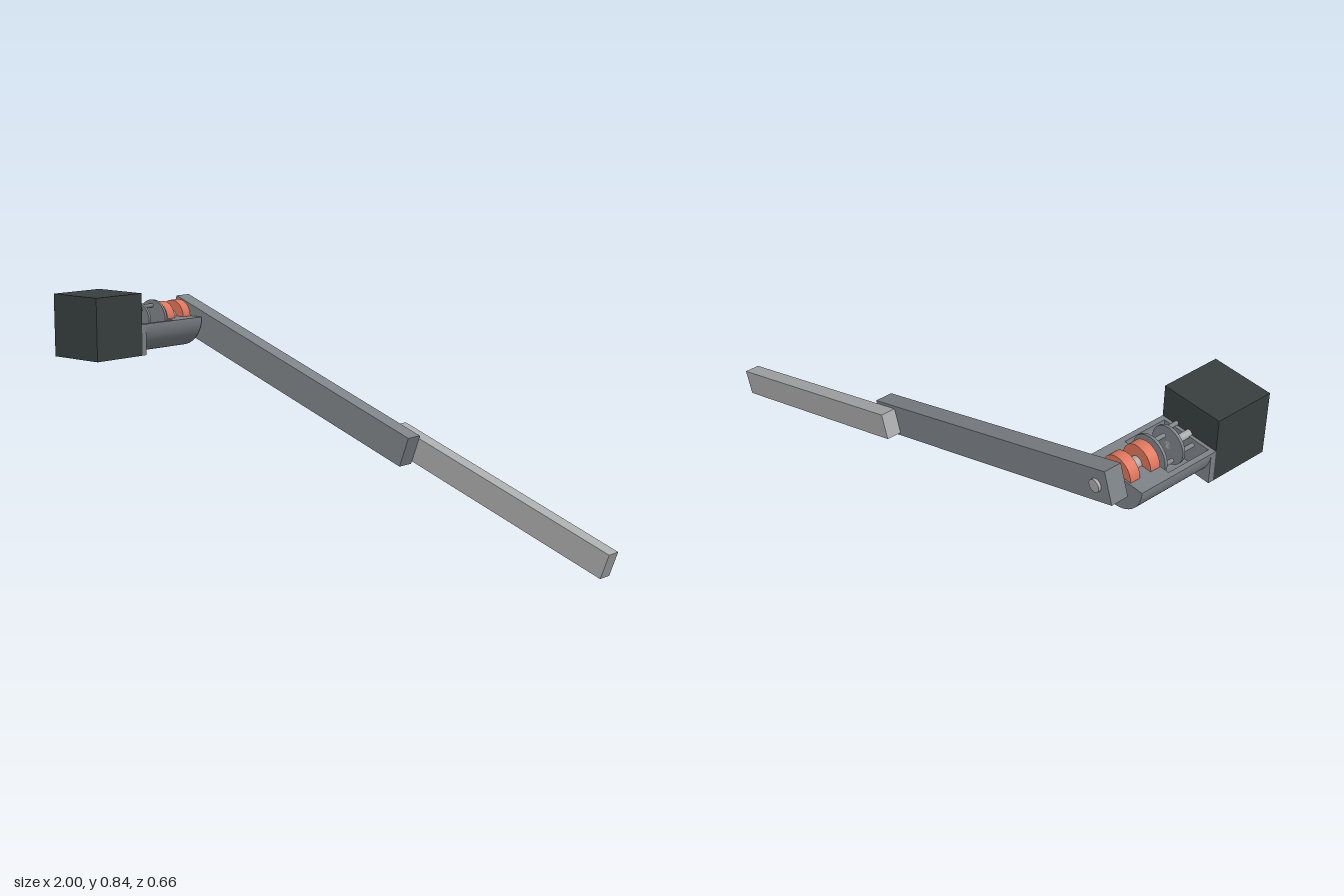
import * as THREE from 'three';

const mat = (name, color) => Object.assign(new THREE.MeshStandardMaterial({ color }), { name });

export function createModel() {
  const charcoal = mat('charcoal', 0x383f3f);
  const grey = mat('steel grey', 0x7e8388);
  const silver = mat('light silver', 0xaaabac);
  const copper = mat('copper orange', 0xe0765c);

  const root = new THREE.Group();
  root.name = 'crankAssembly';
  const drive = new THREE.Group(); // its z axis is the drive shaft
  drive.name = 'driveUnit';
  drive.position.set(-0.885, 0.725, 0);
  root.add(drive);

  const add = (parent, name, geo, material) => {
    const mesh = new THREE.Mesh(geo, material);
    mesh.name = name;
    parent.add(mesh);
    return mesh;
  };
  // Round bar along z between two depths
  const rod = (name, r, z0, z1, material, x = 0, y = 0) => {
    const geo = new THREE.CylinderGeometry(r, r, z1 - z0, 32).rotateX(Math.PI / 2);
    return add(drive, name, geo.translate(x, y, (z0 + z1) / 2), material);
  };
  // Flat outline extruded along z between two depths
  const slab = (name, shape, z0, z1, material) => {
    const geo = new THREE.ExtrudeGeometry(shape, { depth: z1 - z0, bevelEnabled: false, curveSegments: 40 });
    return add(drive, name, geo.translate(0, 0, z0), material);
  };
  const R = 0.115, inner = 0.095;

  // Motor block
  add(drive, 'motor', new THREE.BoxGeometry(0.23, 0.23, 0.22).translate(0, 0, 0.22), charcoal);

  // Half-round housing: open trough, solid bearing seat, square mounting flange
  const half = new THREE.Shape().absarc(0, 0, R, Math.PI, 2 * Math.PI, false);
  half.closePath();
  slab('bearingSeat', half, -0.198, -0.07, grey);

  const trough = new THREE.Shape();
  trough.absarc(0, 0, R, Math.PI, 2 * Math.PI, false);
  trough.lineTo(inner, 0);
  trough.absarc(0, 0, inner, 2 * Math.PI, Math.PI, true);
  trough.closePath();
  slab('troughWall', trough, -0.07, 0.09, grey);

  const rim = new THREE.Shape();
  rim.moveTo(-R, 0);
  rim.lineTo(-R, -R);
  rim.lineTo(R, -R);
  rim.lineTo(R, 0);
  rim.lineTo(inner, 0);
  rim.absarc(0, 0, inner, 2 * Math.PI, Math.PI, true);
  rim.closePath();
  slab('flangeRim', rim, 0.09, 0.098, grey);
  add(drive, 'mountingFlange', new THREE.BoxGeometry(2 * R, R, 0.012).translate(0, -R / 2, 0.104), grey);

  // Shafts
  rod('motorShaft', 0.013, 0.018, 0.11, silver);
  rod('outputShaft', 0.022, -0.285, -0.06, silver);

  // Two coupling plates, each with three pins set between the other's
  const coupling = (name, r, z0, z1, pinEnd, turn) => {
    rod(name, r, z0, z1, grey);
    for (let i = 0; i < 3; i++) {
      const a = turn + (i * 2 * Math.PI) / 3;
      rod(name + 'Pin', 0.0075, z1, pinEnd, grey, 0.048 * Math.cos(a), 0.048 * Math.sin(a));
    }
  };
  coupling('motorCoupling', 0.066, 0.018, 0.028, 0.078, Math.PI / 3);
  coupling('outputCoupling', 0.07, -0.06, -0.05, 0, Math.PI / 2);

  // Bearing rings
  const ring = new THREE.Shape().absarc(0, 0, 0.06, 0, 2 * Math.PI, false);
  ring.holes.push(new THREE.Path().absarc(0, 0, 0.022, 0, 2 * Math.PI, true));
  for (const z of [-0.11, -0.192]) slab('bearing', ring, z, z + 0.038, copper);

  // Two overlapping arms sloping down to the left
  const arm = (name, length, width, depth, x, y, z, material) => {
    const mesh = add(root, name, new THREE.BoxGeometry(length, width, depth), material);
    mesh.position.set(x, y, z);
    mesh.rotation.z = -Math.PI / 9;
  };
  arm('innerArm', 1.212, 0.112, 0.065, -0.3665, 0.535, -0.2425, grey);
  arm('outerArm', 0.941, 0.091, 0.055, 0.5425, 0.2037, -0.3025, silver);

  return root;
}
